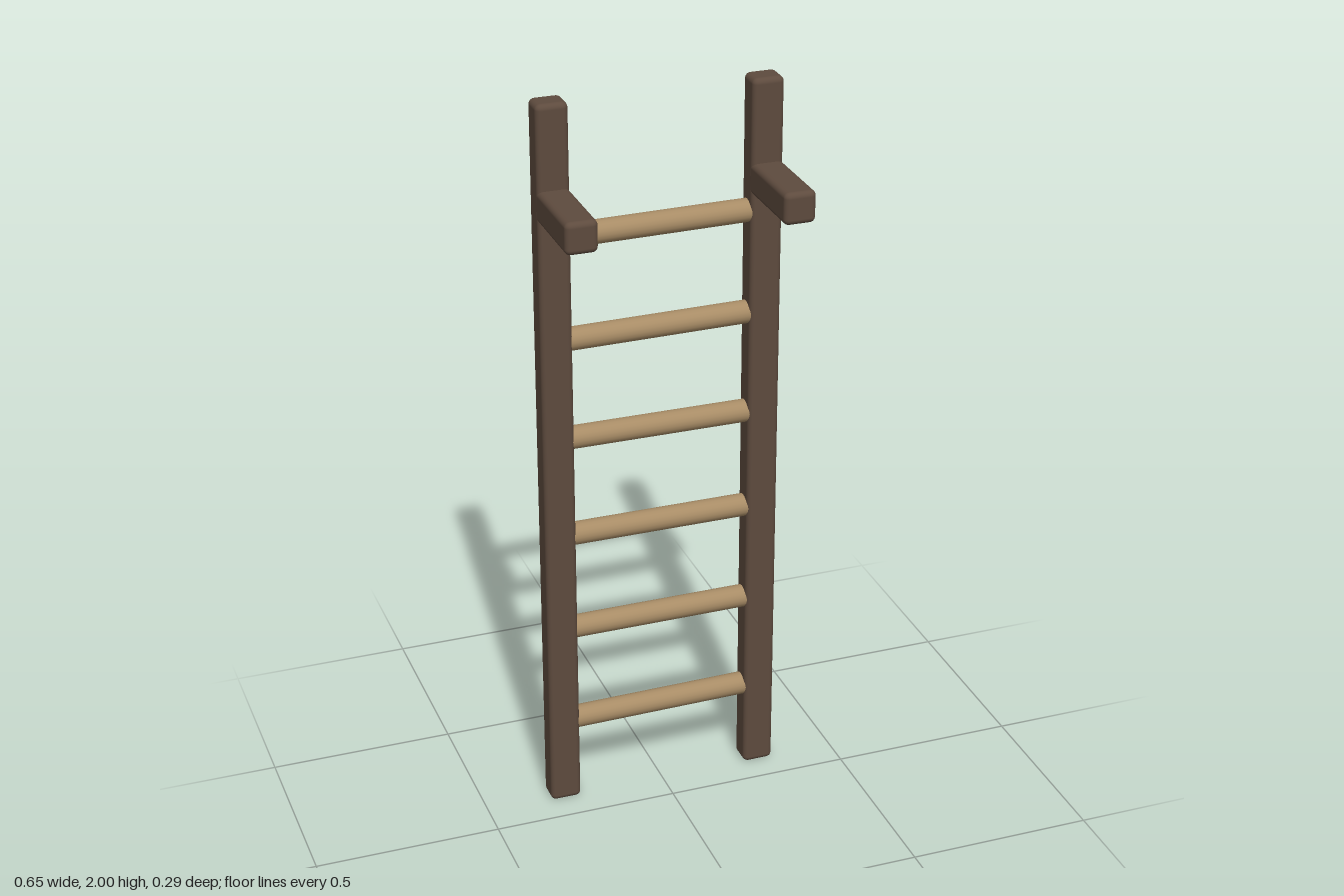
import * as THREE from 'three';
import { RoundedBoxGeometry } from 'three/addons/geometries/RoundedBoxGeometry.js';

export function createModel() {
  const model = new THREE.Group();
  model.name = 'ladder';

  const darkWood = new THREE.MeshStandardMaterial({ color: 0x5e4b3e });
  darkWood.name = 'dark wood';
  const lightWood = new THREE.MeshStandardMaterial({ color: 0xa88c66 });
  lightWood.name = 'light wood';

  const railX = 0.281, railZ = -0.111;

  function add(name, geometry, material, x, y, z) {
    const mesh = new THREE.Mesh(geometry, material);
    mesh.name = name;
    mesh.position.set(x, y, z);
    model.add(mesh);
    return mesh;
  }

  // Upright rails with a forward hook arm on each
  const railGeometry = new RoundedBoxGeometry(0.084, 2, 0.072, 3, 0.015);
  const armGeometry = new RoundedBoxGeometry(0.084, 0.085, 0.245, 3, 0.015);
  for (const [side, s] of [['left', 1], ['right', -1]]) {
    add(side + 'Rail', railGeometry, darkWood, s * railX, 1, railZ);
    add(side + 'HookArm', armGeometry, darkWood, s * railX, 1.736, 0.0215);
  }

  // Round rungs, each slightly out of level
  const rungGeometry = new THREE.CylinderGeometry(0.031, 0.031, 0.53, 20);
  rungGeometry.rotateZ(Math.PI / 2);
  const tilts = [0.012, 0.002, -0.001, -0.003, 0.008, 0.008];
  tilts.forEach((tilt, i) => {
    const rung = add('rung' + (i + 1), rungGeometry, lightWood, 0, 0.24 + i * 0.2805, railZ);
    rung.rotation.z = tilt;
  });

  return model;
}
